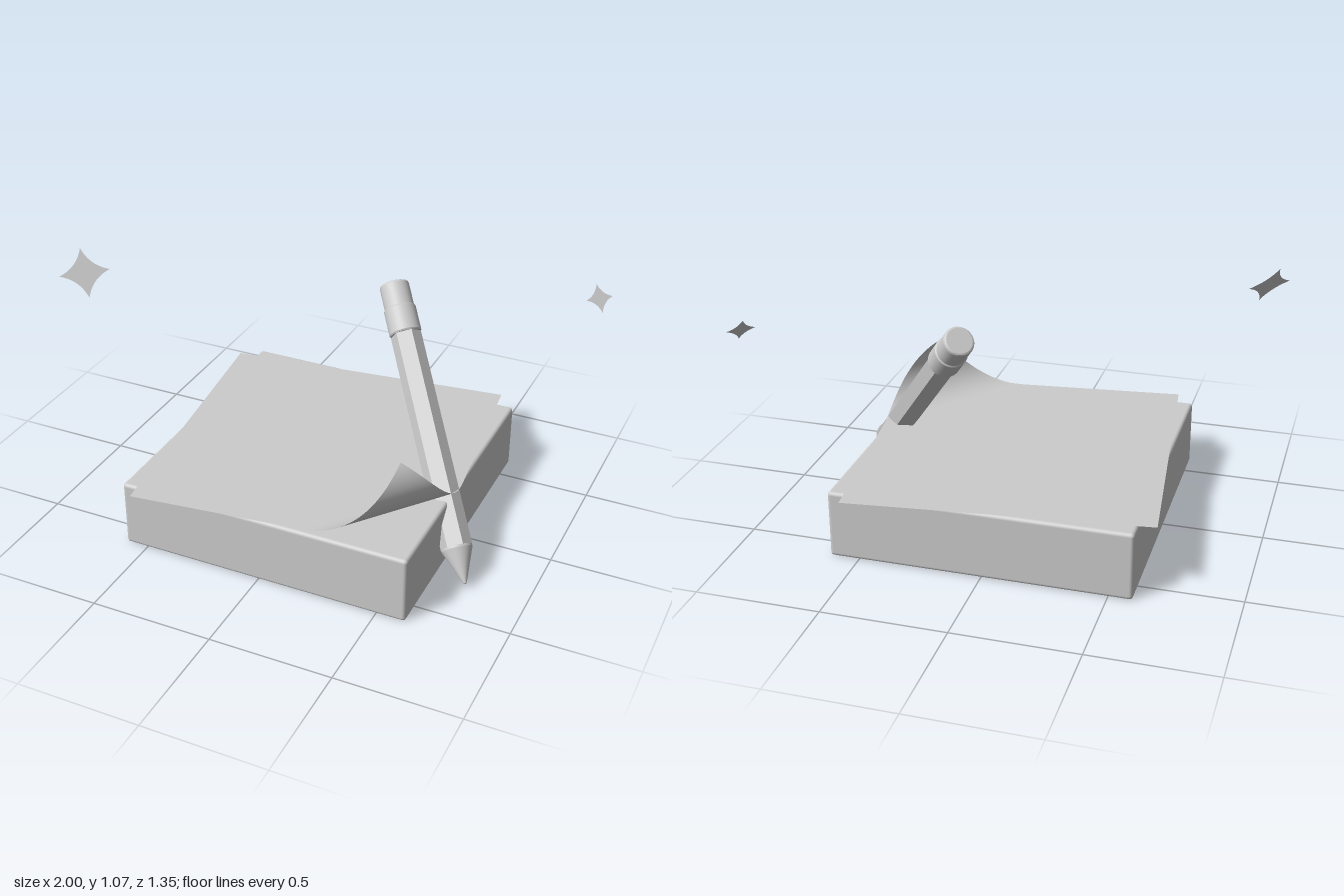
import * as THREE from 'three';
import { RoundedBoxGeometry } from 'three/addons/geometries/RoundedBoxGeometry.js';

const lightGrey = new THREE.MeshStandardMaterial({ color: 0xcccccc });
lightGrey.name = 'lightGrey';
const lightGreyThin = lightGrey; // one colour throughout
lightGreyThin.side = THREE.DoubleSide;

function addMesh(parent, name, geometry) {
  const mesh = new THREE.Mesh(geometry, lightGrey);
  mesh.name = name;
  parent.add(mesh);
  return mesh;
}

// Turned part from [radius, height] points; each span keeps its own normals so edges stay sharp
function turned(parent, name, points) {
  const group = new THREE.Group();
  group.name = name;
  for (let i = 0; i < points.length - 1; i++) {
    const span = [points[i], points[i + 1]].map(([r, y]) => new THREE.Vector2(r, y));
    addMesh(group, name + 'Span' + i, new THREE.LatheGeometry(span, 40));
  }
  parent.add(group);
}

// Square sheet, turned a little, with its front corner rolled up around a diagonal cylinder
function curledSheet() {
  const half = 0.607, curlStart = 0.499, radius = 0.155;
  const geometry = new THREE.PlaneGeometry(2 * half, 2 * half, 72, 72);
  const p = geometry.attributes.position;
  for (let i = 0; i < p.count; i++) {
    const u = p.getX(i), v = -p.getY(i);
    const along = (u + v) / Math.SQRT2, across = (v - u) / Math.SQRT2;
    const angle = Math.max(0, along - curlStart) / radius;
    const d = Math.min(along, curlStart) + radius * Math.sin(angle);
    const y = 0.284 + radius * (1 - Math.cos(angle));
    p.setXYZ(i, 0.01 + d * 0.787 - across * 0.618, y, -0.005 + d * 0.618 + across * 0.787);
  }
  geometry.computeVertexNormals();
  return geometry;
}

// Four-pointed star with hollow sides
function sparkleGeometry(r) {
  const shape = new THREE.Shape();
  const c = r * 0.25;
  shape.moveTo(r, 0);
  shape.quadraticCurveTo(c, c, 0, r);
  shape.quadraticCurveTo(-c, c, -r, 0);
  shape.quadraticCurveTo(-c, -c, 0, -r);
  shape.quadraticCurveTo(c, -c, r, 0);
  return new THREE.ShapeGeometry(shape, 10);
}

function createPencil() {
  const pencil = new THREE.Group();
  pencil.name = 'pencil';
  const bodyStart = 0.145, bodyEnd = 1.045;

  turned(pencil, 'sharpenedTip', [[0, 0], [0.006, 0.002], [0.062, 0.138], [0.062, 0.147], [0, 0.15]]);

  // Hexagonal body
  const hex = new THREE.CylinderGeometry(0.063, 0.063, bodyEnd - bodyStart, 6).toNonIndexed();
  hex.computeVertexNormals();
  addMesh(pencil, 'body', hex).position.y = (bodyStart + bodyEnd) / 2;

  turned(pencil, 'ferrule', [[0, 1.036], [0.062, 1.036], [0.066, 1.042], [0.066, 1.145], [0.061, 1.15], [0, 1.15]]);
  turned(pencil, 'eraser', [[0.061, 1.145], [0.061, 1.246], [0.058, 1.253], [0.052, 1.256], [0, 1.256]]);

  // Lean from the tip, with one body edge turned to the front
  const axis = new THREE.Vector3(-0.61, 0.85, -0.695).normalize();
  const front = new THREE.Vector3(0, 0, 1).addScaledVector(axis, -axis.z).normalize();
  const side = new THREE.Vector3().crossVectors(axis, front);
  pencil.quaternion.setFromRotationMatrix(new THREE.Matrix4().makeBasis(side, axis, front));
  pencil.position.set(0.755, 0.025, 0.32);
  return pencil;
}

export function createModel() {
  const model = new THREE.Group();
  model.name = 'notePadWithPencil';

  addMesh(model, 'pad', new RoundedBoxGeometry(1.215, 0.281, 1.215, 4, 0.015)).position.set(0.0125, 0.1405, -0.002);
  addMesh(model, 'topSheet', curledSheet());
  model.add(createPencil());

  // Floating sparkles
  const sparkles = [
    ['leftSparkle', 0.102, -0.928, 0.985, 0.257],
    ['rightSparkle', 0.059, 0.955, 0.9, -0.557],
  ];
  for (const [name, size, x, y, z] of sparkles) {
    const sparkle = addMesh(model, name, sparkleGeometry(size));
    sparkle.position.set(x, y, z);
    sparkle.lookAt(x + 1, y + 1, z + 1);
  }
  return model;
}
